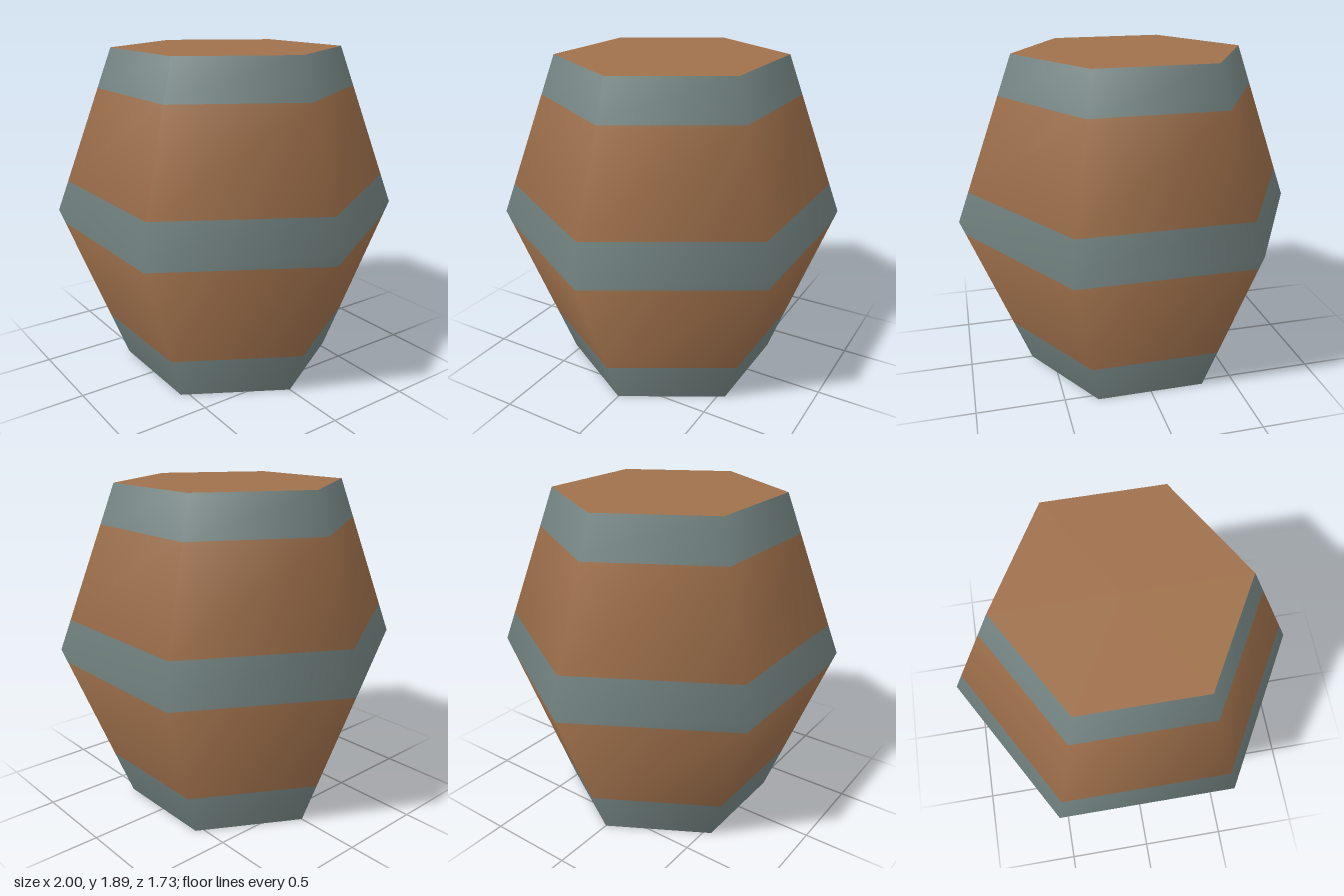
import * as THREE from 'three';

const HEIGHT = 1.89, BELLY = 0.95;
const R_BOTTOM = 0.625, R_BELLY = 1, R_TOP = 0.655;
const SIDES = 6;

// Barrel radius at a given height: straight taper above and below the belly
function radiusAt(y) {
  return y < BELLY
    ? THREE.MathUtils.mapLinear(y, 0, BELLY, R_BOTTOM, R_BELLY)
    : THREE.MathUtils.mapLinear(y, BELLY, HEIGHT, R_BELLY, R_TOP);
}

// Normal tilt: level at the belly, following the taper at both ends
function tiltAt(y) {
  return y < BELLY
    ? -((R_BELLY - R_BOTTOM) / BELLY) * (1 - y / BELLY)
    : ((R_BELLY - R_TOP) / (HEIGHT - BELLY)) * ((y - BELLY) / (HEIGHT - BELLY));
}

// Open six-sided ring between two heights, shaded smoothly with its neighbours
function ring(y0, y1) {
  const g = new THREE.CylinderGeometry(radiusAt(y1), radiusAt(y0), y1 - y0, SIDES, 1, true, Math.PI / 2);
  g.translate(0, (y0 + y1) / 2, 0);
  const p = g.attributes.position;
  const n = new THREE.Vector3();
  for (let i = 0; i < p.count; i++) {
    n.set(p.getX(i), 0, p.getZ(i)).normalize();
    n.y = tiltAt(p.getY(i));
    n.normalize();
    g.attributes.normal.setXYZ(i, n.x, n.y, n.z);
  }
  return g;
}

export function createModel() {
  const wood = new THREE.MeshStandardMaterial({ color: 0xa0714c });
  wood.name = 'wood';
  const iron = new THREE.MeshStandardMaterial({ color: 0x768785 });
  iron.name = 'iron';

  const barrel = new THREE.Group();
  barrel.name = 'barrel';
  const add = (name, geometry, material) => {
    const mesh = new THREE.Mesh(geometry, material);
    mesh.name = name;
    barrel.add(mesh);
  };

  // Hoops and staves, from the ground up
  const bands = [
    ['bottomHoop', 0, 0.26, iron],
    ['lowerStaves', 0.26, 0.87, wood],
    ['middleHoopLower', 0.87, BELLY, iron],
    ['middleHoopUpper', BELLY, 1.125, iron],
    ['upperStaves', 1.125, 1.665, wood],
    ['topHoop', 1.665, HEIGHT, iron],
  ];
  for (const [name, y0, y1, material] of bands) add(name, ring(y0, y1), material);

  // Flat wooden ends
  add('lid', new THREE.CircleGeometry(R_TOP, SIDES).rotateX(-Math.PI / 2).translate(0, HEIGHT, 0), wood);
  add('base', new THREE.CircleGeometry(R_BOTTOM, SIDES).rotateX(Math.PI / 2), wood);

  return barrel;
}
